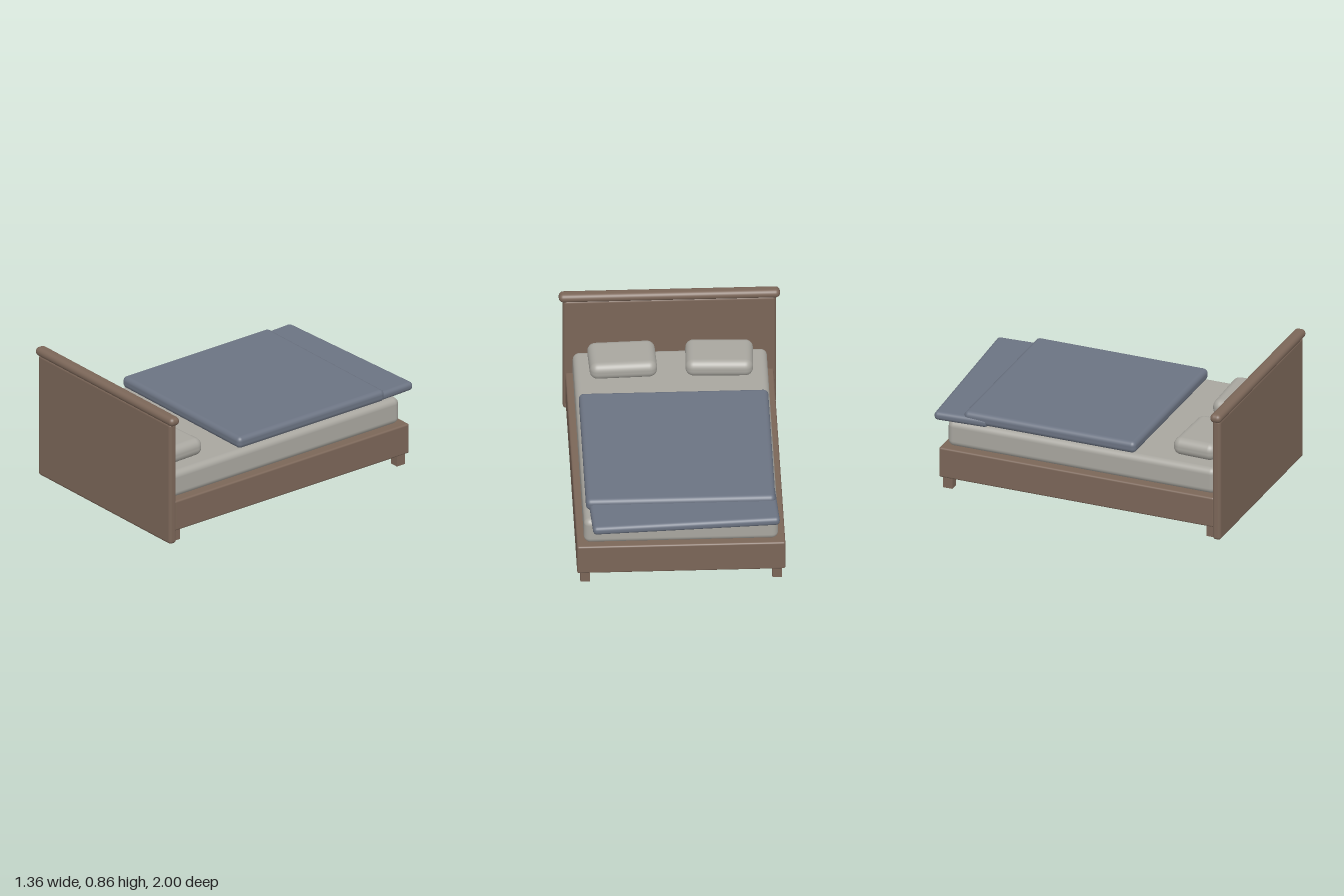
import * as THREE from 'three';
import { RoundedBoxGeometry } from 'three/addons/geometries/RoundedBoxGeometry.js';

const makeMaterial = (name, color) => {
  const m = new THREE.MeshStandardMaterial({ color });
  m.name = name;
  return m;
};

export function createModel() {
  const wood = makeMaterial('brown wood', 0x7b6658);
  const linen = makeMaterial('pale linen', 0xa8a69f);
  const cover = makeMaterial('slate blue cloth', 0x6b7382);
  const bed = new THREE.Group();
  bed.name = 'bed';

  // Rounded block given by its x, y and z ranges, optionally turned about y
  const block = (name, material, [x0, x1], [y0, y1], [z0, z1], radius, turn = 0) => {
    const size = [x1 - x0, y1 - y0, z1 - z0];
    const geometry = radius > 0
      ? new RoundedBoxGeometry(...size, 4, radius)
      : new THREE.BoxGeometry(...size);
    const mesh = new THREE.Mesh(geometry, material);
    mesh.name = name;
    mesh.position.set((x0 + x1) / 2, (y0 + y1) / 2, (z0 + z1) / 2);
    mesh.rotation.y = turn;
    bed.add(mesh);
    return mesh;
  };

  // Wooden frame and headboard with its rounded rail
  block('frame', wood, [-0.64, 0.64], [0.075, 0.275], [-0.895, 0.94], 0.012);
  block('headboard', wood, [-0.655, 0.655], [0, 0.815], [0.935, 0.99], 0.02);
  block('headboardRail', wood, [-0.68, 0.68], [0.803, 0.86], [0.925, 1], 0.028);

  // Square legs under the corners
  for (const side of [-1, 1]) {
    const x = [side * 0.59 - 0.03, side * 0.59 + 0.03];
    block('footLeg', wood, x, [0, 0.09], [-0.875, -0.813], 0);
    block('headLeg', wood, x, [0, 0.09], [0.885, 0.945], 0);
  }

  // Mattress and pillows, each pillow turned slightly inwards
  block('mattress', linen, [-0.597, 0.597], [0.272, 0.445], [-0.86, 0.93], 0.04);
  for (const side of [-1, 1]) {
    const x = side * 0.298;
    block('pillow', linen, [x - 0.208, x + 0.208], [0.443, 0.556], [0.605, 0.893], 0.05, side * 0.035);
  }

  // Duvet, with a skewed throw hanging past the foot end
  block('duvet', cover, [-0.585, 0.58], [0.444, 0.521], [-0.756, 0.39], 0.03);
  block('throw', cover, [-0.597, 0.555], [0.436, 0.492], [-0.975, -0.625], 0.025, 0.052);

  return bed;
}
